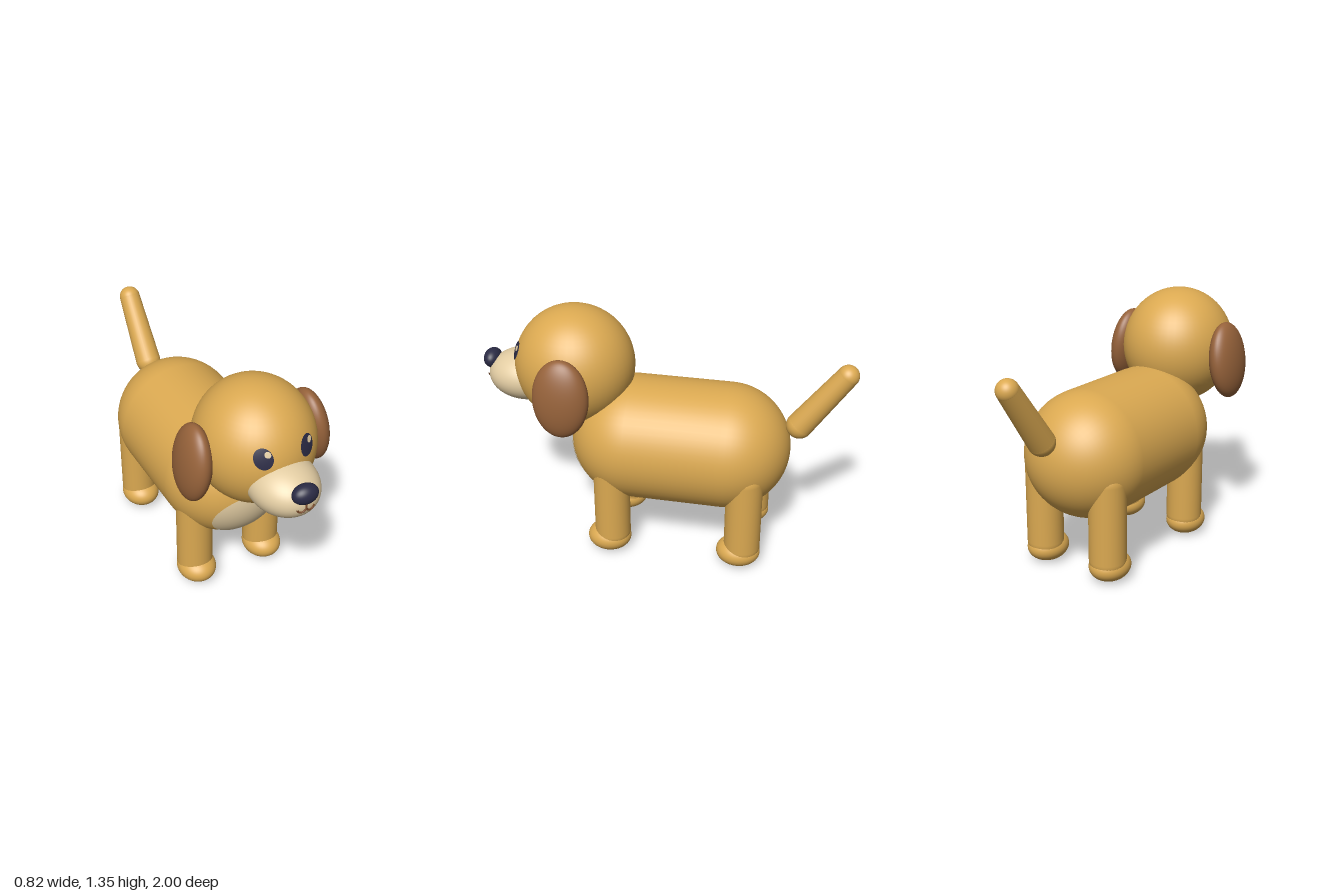
import * as THREE from 'three';

const material = (name, color) => {
  const m = new THREE.MeshStandardMaterial({ color });
  m.name = name;
  return m;
};

export function createModel() {
  const dog = new THREE.Group();
  dog.name = 'dog';
  const tan = material('tan fur', 0xdba951);
  const brown = material('brown ear', 0x96623a);
  const cream = material('cream fur', 0xe3cda3);
  const navy = material('dark navy', 0x2b2b45);
  const mouthBrown = material('mouth brown', 0x7a4a2a);

  const add = (name, geometry, mat, parent = dog) => {
    const mesh = new THREE.Mesh(geometry, mat);
    mesh.name = name;
    parent.add(mesh);
    return mesh;
  };
  const ellipsoid = (name, [x, y, z], [rx, ry, rz], mat, parent = dog) => {
    const mesh = add(name, new THREE.SphereGeometry(1, 48, 32), mat, parent);
    mesh.position.set(x, y, z);
    mesh.scale.set(rx, ry, rz);
    return mesh;
  };
  // Elliptical patch wrapped onto the front of an ellipsoid, lifted slightly
  const patch = (name, [px, py], [rx, ry], [cx, cy, cz], radii, lift, mat) => {
    const g = new THREE.RingGeometry(0.0001, 1, 48, 10);
    const p = g.attributes.position;
    const [a, b, c] = radii.map((r) => r + lift);
    const normals = g.attributes.normal;
    const n = new THREE.Vector3();
    for (let i = 0; i < p.count; i++) {
      const x = px + p.getX(i) * rx - cx;
      const y = py + p.getY(i) * ry - cy;
      const z = c * Math.sqrt(Math.max(0, 1 - (x / a) ** 2 - (y / b) ** 2));
      p.setXYZ(i, x + cx, y + cy, z + cz);
      n.set(x / a ** 2, y / b ** 2, z / c ** 2).normalize();
      normals.setXYZ(i, n.x, n.y, n.z);
    }
    return add(name, g, mat);
  };

  // Body and chest
  const body = add('body', new THREE.CapsuleGeometry(0.34, 0.51, 20, 56), tan);
  body.rotation.x = Math.PI / 2;
  body.position.set(0, 0.62, -0.085);
  patch('chestPatch', [0, 0.518], [0.195, 0.157], [0, 0.62, 0.17], [0.34, 0.34, 0.34], 0.004, cream);

  // Head and muzzle
  const headCentre = [0, 1.029, 0.49];
  const headRadii = [0.306, 0.323, 0.321];
  ellipsoid('head', headCentre, headRadii, tan);
  ellipsoid('muzzle', [0, 0.943, 0.76], [0.174, 0.138, 0.21], cream);
  ellipsoid('nose', [0, 1.015, 0.953], [0.068, 0.051, 0.047], navy);

  // Eyes with highlights offset to the same side
  for (const [side, s] of [['left', 1], ['right', -1]]) {
    const x = s * 0.117;
    patch(side + 'Eye', [x, 1.13], [0.043, 0.051], headCentre, headRadii, 0.006, navy);
    patch(side + 'EyeHighlight', [x + 0.018, 1.153], [0.015, 0.015], headCentre, headRadii, 0.01, cream);
  }

  // Mouth: a short stem and two curls lying on the muzzle
  const mouth = new THREE.Group();
  mouth.name = 'mouth';
  dog.add(mouth);
  const onMuzzle = ([x, y]) => new THREE.Vector3(x, y,
    0.762 + 0.21 * Math.sqrt(1 - (x / 0.174) ** 2 - ((y - 0.943) / 0.138) ** 2));
  const stroke = (name, points) => {
    const curve = new THREE.CatmullRomCurve3(points.map(onMuzzle));
    add(name, new THREE.TubeGeometry(curve, 20, 0.005, 8), mouthBrown, mouth);
  };
  stroke('mouthStem', [[0, 0.975], [0, 0.958], [0, 0.941]]);
  for (const s of [1, -1]) {
    stroke(s > 0 ? 'leftSmile' : 'rightSmile',
      [[0, 0.941], [s * 0.01, 0.929], [s * 0.025, 0.924], [s * 0.04, 0.931], [s * 0.046, 0.945]]);
  }

  // Floppy ears
  for (const s of [1, -1]) {
    const ear = ellipsoid(s > 0 ? 'leftEar' : 'rightEar', [s * 0.331, 0.988, 0.477], [0.077, 0.209, 0.148], brown);
    ear.rotation.z = s * 0.12;
  }

  // Legs with rounded paws
  for (const [end, z] of [['front', 0.255], ['back', -0.467]]) {
    for (const s of [1, -1]) {
      const leg = new THREE.Group();
      leg.name = end + (s > 0 ? 'Left' : 'Right') + 'Leg';
      leg.position.set(s * 0.207, 0, z);
      dog.add(leg);
      add('shin', new THREE.CapsuleGeometry(0.098, 0.42, 12, 32), tan, leg).position.y = 0.33;
      ellipsoid('paw', [0, 0.08, 0.019], [0.105, 0.079, 0.12], tan, leg);
    }
  }

  // Tapered tail with round ends
  const tail = new THREE.Group();
  tail.name = 'tail';
  dog.add(tail);
  const base = new THREE.Vector3(0, 0.785, -0.718);
  const tip = new THREE.Vector3(0, 1.1, -0.942);
  const shaft = add('tailShaft',
    new THREE.CylinderGeometry(0.058, 0.071, base.distanceTo(tip), 32, 1, true), tan, tail);
  shaft.position.copy(base).lerp(tip, 0.5);
  shaft.quaternion.setFromUnitVectors(new THREE.Vector3(0, 1, 0), tip.clone().sub(base).normalize());
  ellipsoid('tailBase', base.toArray(), [0.071, 0.071, 0.071], tan, tail);
  ellipsoid('tailTip', tip.toArray(), [0.058, 0.058, 0.058], tan, tail);

  return dog;
}
